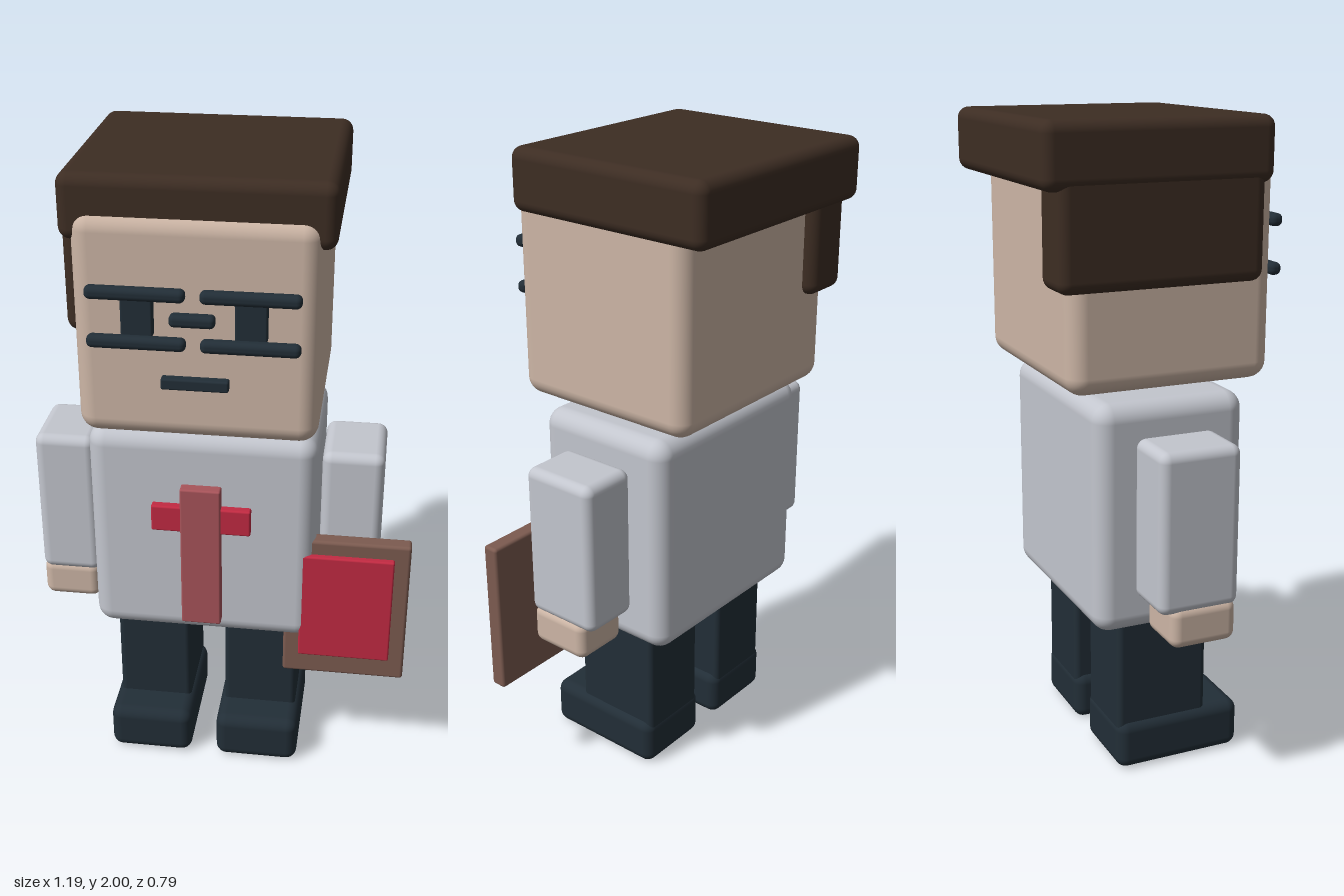
import * as THREE from 'three';
import { RoundedBoxGeometry } from 'three/addons/geometries/RoundedBoxGeometry.js';

const paint = (name, color) => {
  const m = new THREE.MeshStandardMaterial({ color });
  m.name = name;
  return m;
};

export function createModel() {
  const hair = paint('dark brown hair', 0x3d2d23);
  const skin = paint('skin', 0xcdb6a6);
  const shirt = paint('pale grey shirt', 0xc3c6ce);
  const navy = paint('dark navy', 0x222e37);
  const red = paint('red', 0xc22a42);
  const mutedRed = paint('muted red', 0xa8545a);
  const brown = paint('book brown', 0x7c5b50);

  const model = new THREE.Group();
  model.name = 'blockCharacter';

  // Rounded box given by its [min, max] extent on each axis
  const block = (name, material, [x0, x1], [y0, y1], [z0, z1], radius, parent = model) => {
    const geometry = new RoundedBoxGeometry(x1 - x0, y1 - y0, z1 - z0, 4, radius);
    const mesh = new THREE.Mesh(geometry, material);
    mesh.position.set((x0 + x1) / 2, (y0 + y1) / 2, (z0 + z1) / 2);
    mesh.name = name;
    parent.add(mesh);
    return mesh;
  };
  const group = (name) => {
    const g = new THREE.Group();
    g.name = name;
    model.add(g);
    return g;
  };

  const axis = -0.05; // the body's own centre line
  const span = (centre, half) => [centre - half, centre + half];

  // Head and hair, with a side lock that wraps the back corner
  const head = group('head');
  block('skull', skin, [-0.4, 0.3], [1.23, 1.9], [-0.31, 0.33], 0.055, head);
  block('hairCap', hair, [-0.435, 0.335], [1.81, 2], [-0.395, 0.31], 0.035, head);
  block('sideHair', hair, [-0.43, -0.27], [1.53, 1.9], [-0.35, 0.285], 0.035, head);

  // Face and glasses
  const face = group('face');
  for (const side of [-1, 1]) {
    const x = axis + side * 0.16;
    block('eye', navy, span(x, 0.045), [1.56, 1.68], [0.3, 0.358], 0.006, face);
    for (const y of [1.548, 1.692])
      block('glassesBar', navy, span(x, 0.14), span(y, 0.019), [0.347, 0.386], 0.016, face);
  }
  block('glassesBridge', navy, span(axis, 0.064), span(1.625, 0.018), [0.355, 0.396], 0.014, face);
  block('mouth', navy, span(axis, 0.097), span(1.418, 0.017), [0.31, 0.357], 0.006, face);

  // Torso with the cross on its front
  block('torso', shirt, [-0.4, 0.3], [0.49, 1.2], [-0.23, 0.25], 0.055);
  const cross = group('chestCross');
  block('crossUpright', mutedRed, span(axis, 0.062), [0.55, 1.035], [0.23, 0.285], 0.006, cross);
  block('crossBeam', red, span(axis, 0.153), [0.88, 0.967], [0.23, 0.276], 0.006, cross);

  // Arms and legs, mirrored about the body's centre line
  for (const side of [-1, 1]) {
    const label = side > 0 ? 'left' : 'right';
    const arm = group(label + 'Arm');
    block('sleeve', shirt, span(axis + side * 0.452, 0.096), [0.615, 1.105], [-0.12, 0.135], 0.03, arm);
    block('hand', skin, span(axis + side * 0.456, 0.092), [0.505, 0.635], [-0.08, 0.128], 0.03, arm);

    const leg = group(label + 'Leg');
    block('trouser', navy, span(axis + side * 0.177, 0.119), [0.1, 0.55], [-0.14, 0.16], 0.018, leg);
    block('shoe', navy, span(axis + side * 0.177, 0.135), [0, 0.16], [-0.143, 0.275], 0.035, leg);
  }

  // Book held by the left hand
  const book = group('book');
  block('bookBoard', brown, [0.207, 0.595], [0.35, 0.85], [0.175, 0.227], 0.01, book);
  block('bookCover', red, [0.257, 0.546], [0.43, 0.803], [0.2, 0.246], 0.006, book);

  return model;
}
